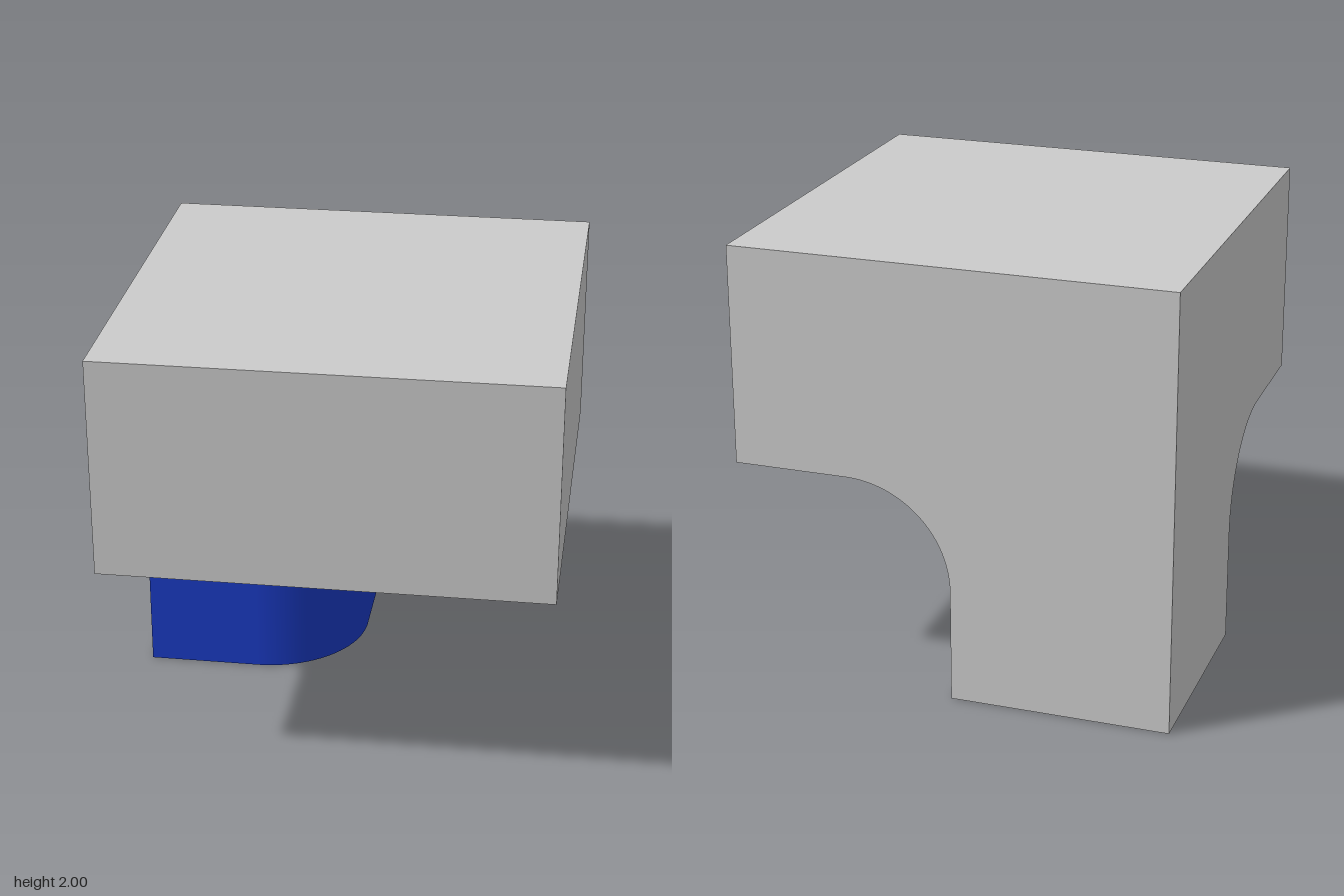
import * as THREE from 'three';

const R = 0.48; // radius of the rounded edge and of the fillets
const grey = new THREE.MeshStandardMaterial({ color: 0xcccccc });
const blue = new THREE.MeshStandardMaterial({ color: 0x1a3ac3 });

// Blended surface: rounded leg, concave fillets and flat underside in one skin.
// Each row runs from the x = -1 side, round the corner, to the z = -1 side.
function blendGeometry() {
  const steps = 24, arc = 24;
  const pos = [], nor = [], idx = [];
  const addRow = (phi, y, reach) => {
    const cos = Math.cos(phi), sin = Math.sin(phi);
    const d = reach ?? R - R * cos;            // offset of the side walls
    const c = reach ?? R - 2 * R * cos;        // centre of the ball rolling along the corner
    const h = 1 - R + 2 * R * sin;
    const a = new THREE.Vector3(0, -sin, cos), b = new THREE.Vector3(cos, -sin, 0);
    const angle = a.angleTo(b);
    const put = (x, py, z, n) => { pos.push(x, py, z); nor.push(n.x, n.y, n.z); };
    put(-1, y, d, a);
    for (let i = 0; i <= arc; i++) {
      const n = a.clone();
      if (angle > 1e-4) n.applyAxisAngle(a.clone().cross(b).normalize(), angle * i / arc);
      if (reach !== undefined) put(c, y, c, n);
      else put(c + R * n.x, phi === 0 ? y : h + R * n.y, c + R * n.z, n);
    }
    put(d, y, -1, b);
  };
  addRow(0, 0);
  for (let i = 0; i <= steps; i++) {
    const phi = i / steps * Math.PI / 2;
    addRow(phi, 1 - R + R * Math.sin(phi));
  }
  addRow(Math.PI / 2, 1, 1);
  const w = arc + 3, rows = steps + 3;
  for (let r = 0; r < rows - 1; r++) {
    for (let i = 0; i < w - 1; i++) {
      const p = r * w + i;
      idx.push(p, p + 1, p + w + 1, p, p + w + 1, p + w);
    }
  }
  const g = new THREE.BufferGeometry();
  g.setAttribute('position', new THREE.Float32BufferAttribute(pos, 3));
  g.setAttribute('normal', new THREE.Float32BufferAttribute(nor, 3));
  g.setIndex(idx);
  return g;
}

// Flat side outline: slab above, filleted leg below; s = -1 mirrors it
function sideGeometry(s) {
  const pts = [[-1, 0], [0, 0]];
  for (let i = 0; i <= 24; i++) {
    const t = i / 24 * Math.PI / 2;
    pts.push([R - R * Math.cos(t), 1 - R + R * Math.sin(t)]);
  }
  pts.push([1, 1], [1, 2], [-1, 2]);
  return new THREE.ShapeGeometry(new THREE.Shape(pts.map(([x, y]) => new THREE.Vector2(s * x, y))));
}

export function createModel() {
  const model = new THREE.Group();
  const add = (name, geometry, material) => {
    const mesh = new THREE.Mesh(geometry, material);
    mesh.name = name;
    model.add(mesh);
  };

  add('filletedUnderside', blendGeometry(), blue);

  // Side faces carrying the leg outline
  add('backFace', sideGeometry(-1).rotateY(Math.PI).translate(0, 0, -1), grey);
  add('rightFace', sideGeometry(1).rotateY(-Math.PI / 2).translate(-1, 0, 0), grey);

  // Remaining faces of the slab
  add('frontFace', new THREE.PlaneGeometry(2, 1).translate(0, 1.5, 1), grey);
  add('leftFace', new THREE.PlaneGeometry(2, 1).rotateY(Math.PI / 2).translate(1, 1.5, 0), grey);
  add('topFace', new THREE.PlaneGeometry(2, 2).rotateX(-Math.PI / 2).translate(0, 2, 0), grey);

  // Foot of the leg, with its one rounded corner
  const foot = new THREE.Shape();
  foot.moveTo(-1, -1);
  foot.lineTo(0, -1);
  foot.lineTo(0, -R);
  foot.absarc(-R, -R, R, 0, Math.PI / 2, false);
  foot.lineTo(-1, 0);
  add('footFace', new THREE.ShapeGeometry(foot, 24).rotateX(Math.PI / 2), grey);

  return model;
}
